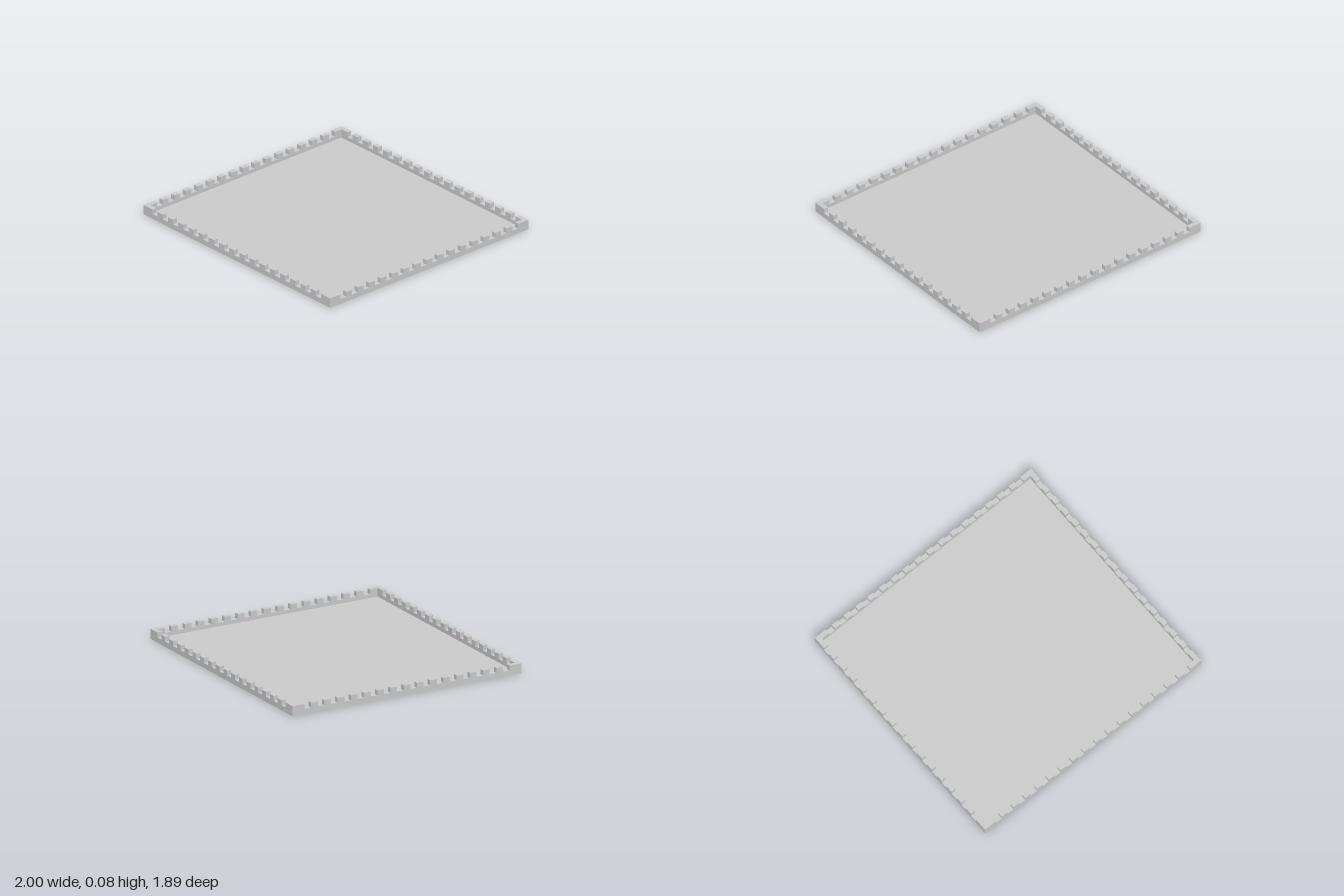
import * as THREE from 'three';

const HALF_X = 1, HALF_Z = 0.945;   // outer half sizes
const T = 0.036;                    // wall thickness
const LOW = 0.038, HIGH = 0.075;    // notch floor and battlement top
const CORNER = 0.1;                 // length of the solid corner blocks
const FLOOR = 0.01;

const material = new THREE.MeshStandardMaterial({ color: 0xcccccc, flatShading: true });

// Crenellated wall along x, centred; its ends are trimmed by inset
function wallGeometry(half, notches, inset) {
  const end = half - inset;
  const step = 2 * (half - CORNER) / (2 * notches - 1);
  const shape = new THREE.Shape();
  shape.moveTo(-end, 0);
  shape.lineTo(end, 0);
  shape.lineTo(end, HIGH);
  for (let i = 0; i < notches; i++) {
    const right = half - CORNER - 2 * i * step;
    shape.lineTo(right, HIGH);
    shape.lineTo(right, LOW);
    shape.lineTo(right - step, LOW);
    shape.lineTo(right - step, HIGH);
  }
  shape.lineTo(-end, HIGH);
  shape.closePath();
  return new THREE.ExtrudeGeometry(shape, { depth: T, bevelEnabled: false }).translate(0, 0, -T / 2);
}

export function createModel() {
  const model = new THREE.Group();
  model.name = 'walledBase';
  const add = (name, geometry) => {
    const mesh = new THREE.Mesh(geometry, material);
    mesh.name = name;
    model.add(mesh);
    return mesh;
  };

  // Floor plate between the walls
  add('floor', new THREE.BoxGeometry(2 * (HALF_X - T), FLOOR, 2 * (HALF_Z - T))).position.y = FLOOR / 2;

  // Front and back walls run the full width
  const longWall = wallGeometry(HALF_X, 17, 0);
  add('frontWall', longWall).position.z = HALF_Z - T / 2;
  add('backWall', longWall).position.z = -HALF_Z + T / 2;

  // Side walls fit between them
  const sideWall = wallGeometry(HALF_Z, 16, T).rotateY(Math.PI / 2);
  add('leftWall', sideWall).position.x = HALF_X - T / 2;
  add('rightWall', sideWall).position.x = -HALF_X + T / 2;

  return model;
}
